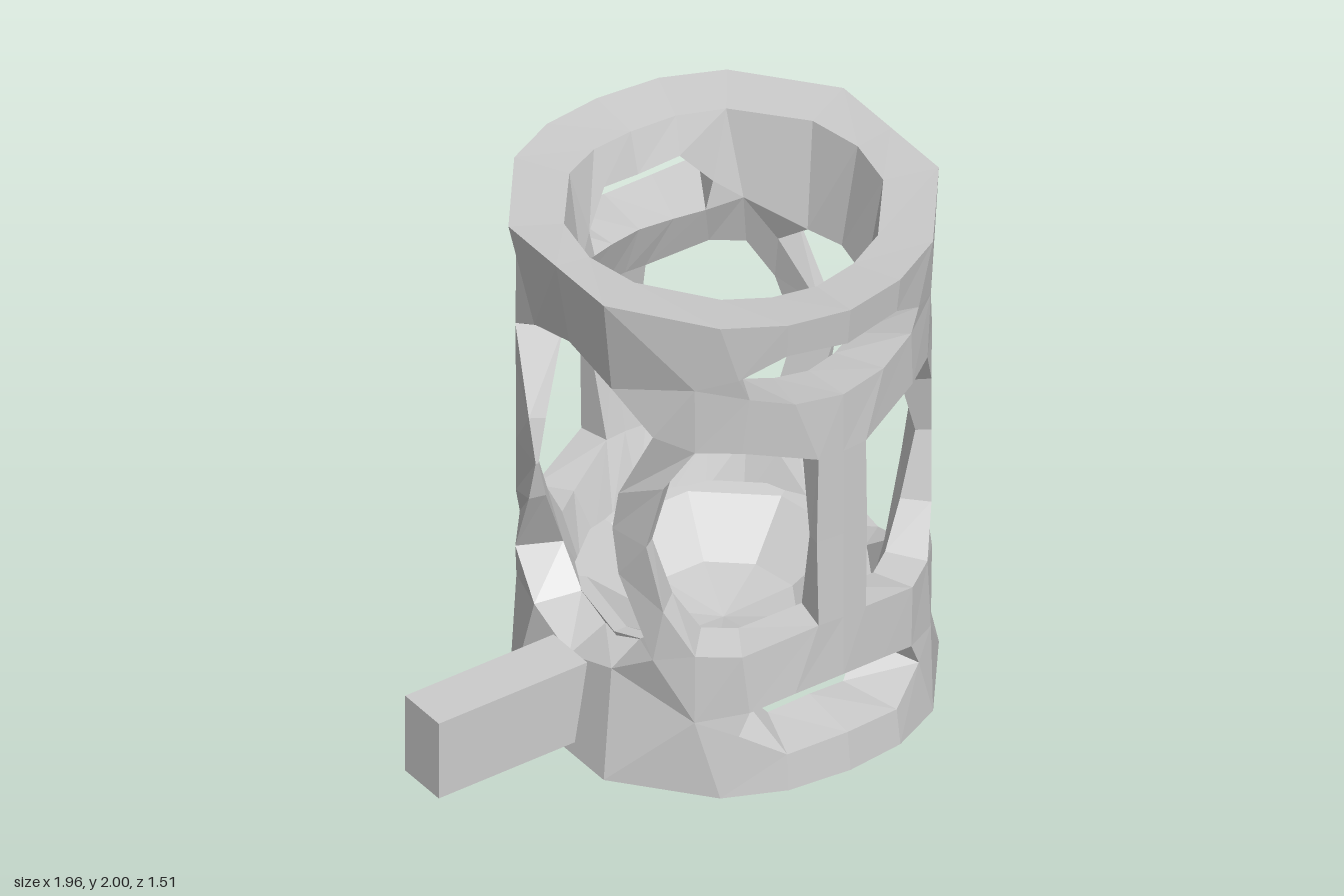
import * as THREE from 'three';

const CENTRE_X = 0.28;

// One eighth of the unrolled wall: [angle from the front in degrees, height from mid-level]
const P = {
  p0: [0, 0], p1: [0, 0.35],                                                          // centre post
  w0: [8.5, 0], w1: [8, 0.35], w2: [30, 0.43], w3: [43, 0.43], w4: [52, 0.26], w5: [57, 0], // front window
  x0: [90, 0.66], x1: [70, 0.59], x2: [55, 0.47], x3: [67, 0.17], x4: [70, 0],        // side window
  s0: [0, 0.82], s1: [18, 0.84], s2: [31, 0.75], s3: [28, 0.66], s4: [15, 0.61], s5: [0, 0.59], // slot
  m: [43, 0.7],
  t0: [0, 0.97], t1: [18, 0.98], t2: [36, 0.99], t3: [68, 1], t4: [90, 1],            // rim
};

const FACES = [
  'p0 w0 w1 p1', 'p1 w1 s4 s5', 'w1 w2 s3 s4', 'w2 w3 m s3', 'w3 x2 m', 's3 m s2',
  'x2 x1 m', 'x1 t3 m', 'x1 x0 t4 t3', 'm t3 t2', 's2 m t2', 's1 s2 t2 t1', 's0 s1 t1 t0',
  'w5 x4 x3 w4', 'w4 x3 x2 w3',
].map((f) => f.split(' '));

// Piecewise linear interpolation through [h, value] stops
function profile(stops, h) {
  for (let i = 1; i < stops.length; i++) {
    const [a, va] = stops[i - 1], [b, vb] = stops[i];
    if (h <= b) return va + ((vb - va) * (h - a)) / (b - a);
  }
  return stops[stops.length - 1][1];
}

const OUTER = [[0, 0.71], [0.6, 0.712], [1, 0.757]];
const SIDE_LIMIT = [[0, 0.625], [0.6, 0.63], [0.68, 0.65], [1, 0.7]]; // flattened left and right sides
const INNER = [[0, 0.655], [0.4, 0.575], [0.62, 0.49], [0.84, 0.51], [1, 0.56]];
const INNER_HEIGHT = [[0, 0], [0.47, 0.45], [0.59, 0.565], [0.66, 0.59], [0.84, 0.82], [1, 0.98]];

function wallPoint(name, inside) {
  const [deg, h] = P[name];
  const a = THREE.MathUtils.degToRad(deg);
  const r = inside ? profile(INNER, h)
    : Math.min(profile(OUTER, h), profile(SIDE_LIMIT, h) / Math.max(Math.sin(a), 0.01));
  return [r * Math.sin(a), inside ? profile(INNER_HEIGHT, h) : h, r * Math.cos(a)];
}

function cageGeometry() {
  const polys = [];
  const edges = new Set();
  for (const f of FACES) f.forEach((v, i) => edges.add(v + ' ' + f[(i + 1) % f.length]));

  // Outer skin, inner skin, and walls round every opening and rim
  for (const f of FACES) {
    polys.push(f.map((v) => wallPoint(v, false)));
    polys.push([...f].reverse().map((v) => wallPoint(v, true)));
    f.forEach((a, i) => {
      const b = f[(i + 1) % f.length];
      const onMirror = (k, value) => P[a][k] === value && P[b][k] === value;
      if (edges.has(b + ' ' + a) || onMirror(0, 0) || onMirror(0, 90) || onMirror(1, 0)) return;
      polys.push([wallPoint(a, false), wallPoint(a, true), wallPoint(b, true), wallPoint(b, false)]);
    });
  }

  // Mirror the eighth across all three planes
  const pos = [];
  for (const sx of [1, -1]) for (const sy of [1, -1]) for (const sz of [1, -1]) {
    for (const poly of polys) {
      const q = poly.map(([x, y, z]) => [CENTRE_X + sx * x, 1 + sy * y, sz * z]);
      if (sx * sy * sz < 0) q.reverse();
      for (let i = 1; i < q.length - 1; i++) pos.push(...q[0], ...q[i], ...q[i + 1]);
    }
  }
  const g = new THREE.BufferGeometry();
  g.setAttribute('position', new THREE.Float32BufferAttribute(pos, 3));
  g.computeVertexNormals();
  return g;
}

export function createModel() {
  const group = new THREE.Group();
  const material = new THREE.MeshStandardMaterial({ color: 0xcccccc, flatShading: true });
  const add = (name, geometry, x = 0, y = 0, z = 0) => {
    const mesh = new THREE.Mesh(geometry, material);
    mesh.name = name;
    mesh.position.set(x, y, z);
    group.add(mesh);
  };

  // Pierced tube with six posts, side windows and slots
  add('cage', cageGeometry());

  // Faceted bowl closing the lower throat
  const bowl = [[0, 0.16], [0.3, 0.19], [0.48, 0.34], [0.53, 0.44], [0.47, 0.43], [0.26, 0.28], [0, 0.23]];
  add('bowlFloor', new THREE.LatheGeometry(bowl.map(([x, y]) => new THREE.Vector2(x, y)), 9), CENTRE_X);

  // Straight bar out of the right side of the base
  add('handle', new THREE.BoxGeometry(0.62, 0.315, 0.2), -0.67, 0.205, 0);

  return group;
}
